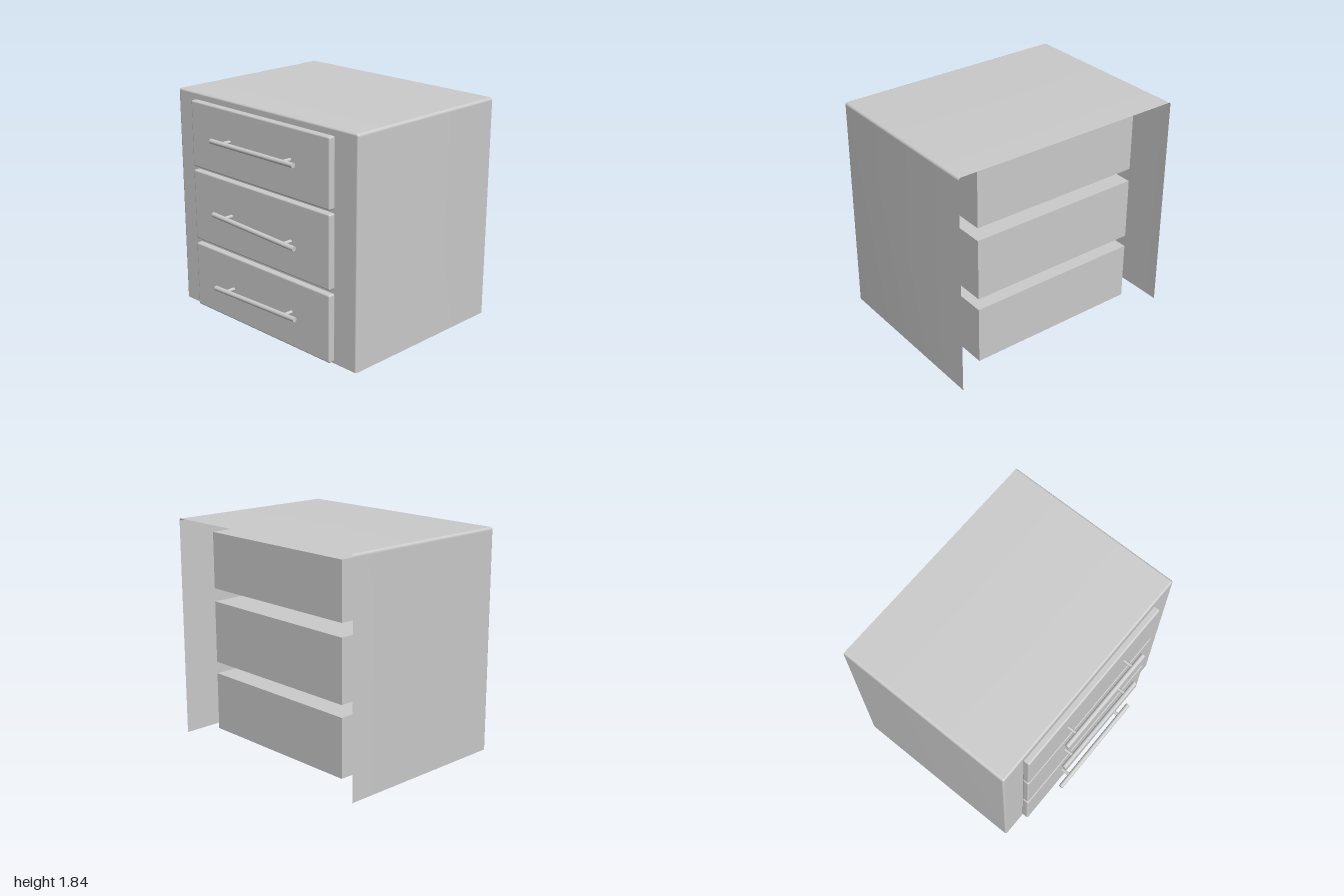
import * as THREE from 'three';
import { toCreasedNormals } from 'three/addons/utils/BufferGeometryUtils.js';
import { RoundedBoxGeometry } from 'three/addons/geometries/RoundedBoxGeometry.js';

const H = 1.84, BACK = -0.84, FRONT = 0.68, R = 0.015, EPS = 0.002;
const material = new THREE.MeshStandardMaterial({ color: 0xcccccc });
const sheetMaterial = new THREE.MeshStandardMaterial({ color: 0xcccccc, side: THREE.DoubleSide });

function add(parent, name, geometry, x = 0, y = 0, z = 0, mat = material) {
  const mesh = new THREE.Mesh(geometry, mat);
  mesh.name = name;
  mesh.position.set(x, y, z);
  parent.add(mesh);
  return mesh;
}

// Upside-down U: left foot, up, across the top and down, with small rounded corners
function outline(inset) {
  const left = [];
  const cr = 0.02 - inset, cx = -1 + 0.02, cy = H - 0.02;
  left.push([-1 + inset, 0], [-1 + inset, cy - EPS]);
  for (let i = 0; i <= 4; i++) {
    const a = Math.PI - (i / 4) * Math.PI / 2;
    left.push([cx + cr * Math.cos(a), cy + cr * Math.sin(a)]);
  }
  left.push([cx + EPS, H - inset]);
  return [...left, ...left.map(([x, y]) => [-x, y]).reverse()];
}

// Thin top and sides, rolled over into the front edge
function shellGeometry() {
  const profile = [[0, BACK], [0, FRONT - R - EPS]];
  for (let i = 0; i <= 4; i++) {
    const a = (i / 4) * Math.PI / 2;
    profile.push([R * (1 - Math.cos(a)), FRONT - R + R * Math.sin(a)]);
  }
  profile.push([R + EPS, FRONT]);
  const loops = profile.map(([inset, z]) => outline(inset).map(([x, y]) => [x, y, z]));
  const n = loops[0].length, index = [];
  for (let j = 0; j < loops.length - 1; j++) {
    for (let i = 0; i < n - 1; i++) {
      const a = j * n + i, b = a + 1, c = a + n, d = c + 1;
      index.push(a, c, b, b, c, d);
    }
  }
  const g = new THREE.BufferGeometry();
  g.setAttribute('position', new THREE.Float32BufferAttribute(loops.flat(2), 3));
  g.setIndex(index);
  return toCreasedNormals(g, Math.PI / 5);
}

// Panel, box behind it and a bar handle with two posts
function drawer(name, bottom, top, boxBottom, boxTop, handleY, tilt) {
  const g = new THREE.Group();
  g.name = name;
  add(g, 'drawerFront', new RoundedBoxGeometry(1.555, top - bottom, 0.06, 3, 0.014),
    -0.002, (bottom + top) / 2, 0.705);
  const depth = FRONT + 0.7;
  add(g, 'drawerBox', new THREE.BoxGeometry(1.49, boxTop - boxBottom, depth),
    0, (boxBottom + boxTop) / 2, FRONT - depth / 2);

  const handle = new THREE.Group();
  handle.name = 'handle';
  handle.position.set(0.025, handleY, 0.82);
  handle.rotation.z = tilt;
  add(handle, 'handleBar', new THREE.CylinderGeometry(0.02, 0.02, 0.93, 20).rotateZ(Math.PI / 2));
  for (const s of [-1, 1]) {
    add(handle, 'handlePost', new THREE.CylinderGeometry(0.014, 0.014, 0.09, 16).rotateX(Math.PI / 2),
      s * 0.34, 0, -0.045);
  }
  g.add(handle);
  return g;
}

export function createModel() {
  const model = new THREE.Group();
  model.name = 'drawerCabinet';

  // Cabinet, open at the back and underneath
  add(model, 'cabinetShell', shellGeometry(), 0, 0, 0, sheetMaterial);
  const face = new THREE.Shape(outline(R + EPS).map(([x, y]) => new THREE.Vector2(x, y)));
  // Shape runs clockwise; ShapeGeometry reorders it to face the front
  add(model, 'cabinetFront', new THREE.ShapeGeometry(face), 0, 0, FRONT, sheetMaterial);

  // Drawers, with slightly tilted handles
  model.add(drawer('topDrawer', 1.237, 1.785, 1.28, 1.745, 1.533, 0.005));
  model.add(drawer('middleDrawer', 0.612, 1.208, 0.655, 1.17, 0.908, -0.038));
  model.add(drawer('bottomDrawer', 0.018, 0.575, 0.07, 0.555, 0.304, 0.027));
  return model;
}
